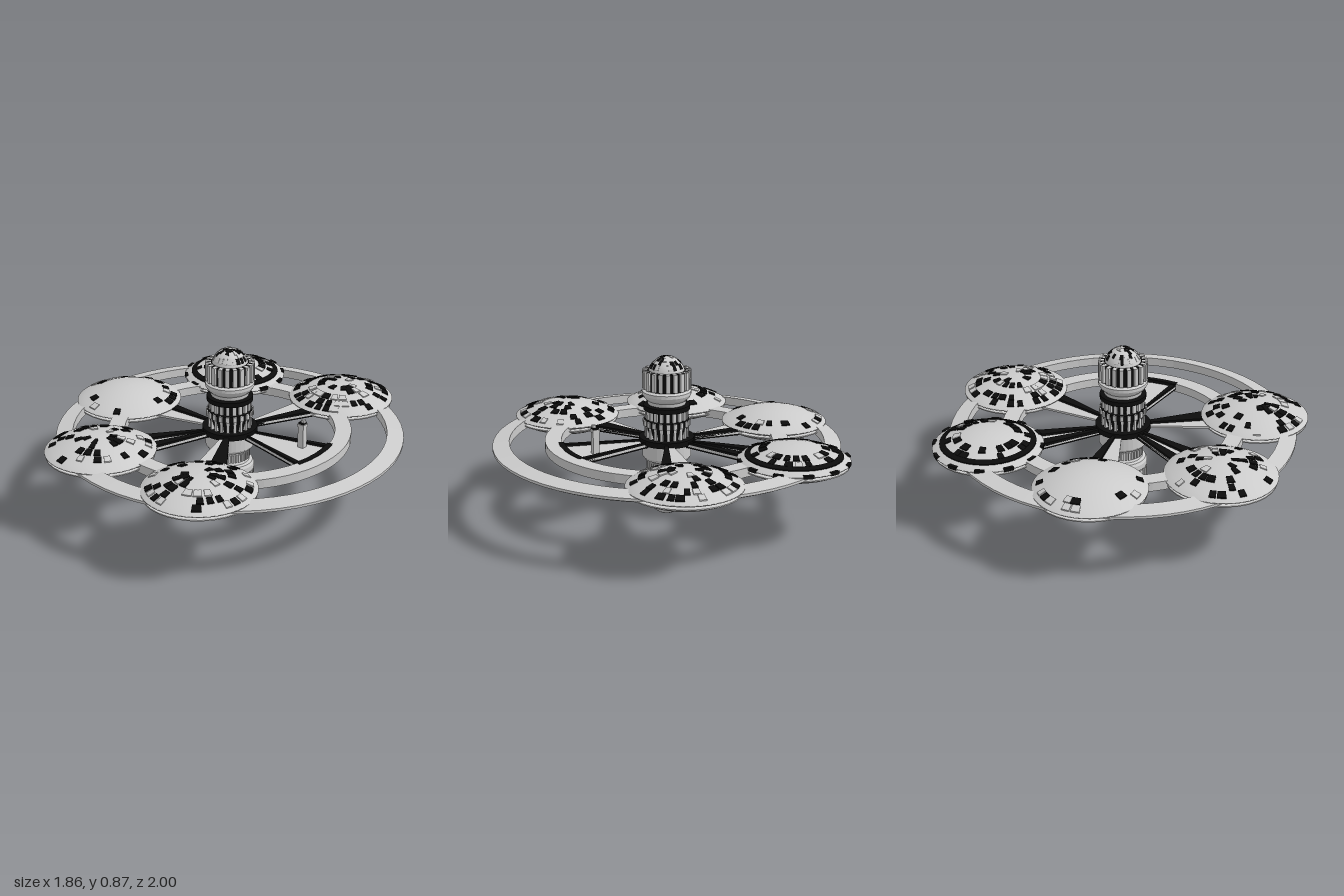
import * as THREE from 'three';
import { mergeGeometries } from 'three/addons/utils/BufferGeometryUtils.js';

const grey = new THREE.MeshStandardMaterial({ color: 0xcccccc, flatShading: true });
const smooth = new THREE.MeshStandardMaterial({ color: 0xcccccc });
const black = new THREE.MeshStandardMaterial({ color: 0x0c0c0c, flatShading: true });
const RAD = Math.PI / 180;

function seeded(seed) {
  let s = seed * 7919 + 17;
  return () => (s = (s * 16807) % 2147483647) / 2147483647;
}

function add(parent, name, geometry, material) {
  const m = new THREE.Mesh(geometry, material);
  m.name = name;
  parent.add(m);
  return m;
}

// Solid ring sector: radii r0..r1, angles a0..a1 in degrees, heights as functions of radius
function sector(r0, r1, a0, a1, bottom, top) {
  const g = new THREE.BoxGeometry(1, 1, 1, 1, 1, Math.max(1, Math.ceil((a1 - a0) / 8)));
  const p = g.attributes.position;
  for (let i = 0; i < p.count; i++) {
    const r = THREE.MathUtils.lerp(r0, r1, p.getX(i) + 0.5);
    const a = THREE.MathUtils.lerp(a0, a1, p.getZ(i) + 0.5) * RAD;
    const h = p.getY(i) > 0 ? top : bottom;
    p.setXYZ(i, r * Math.cos(a), typeof h === 'function' ? h(r) : h, r * Math.sin(a));
  }
  g.computeVertexNormals();
  return g;
}

function lathe(points, segments) {
  return new THREE.LatheGeometry(points.map(([r, y]) => new THREE.Vector2(r, y)), segments);
}

// A ring of evenly spaced teeth
function teeth(n, r0, r1, y0, y1, fill = 0.55, offset = 0) {
  const list = [];
  const step = 360 / n;
  for (let i = 0; i < n; i++) {
    const a = (i + offset) * step;
    list.push(sector(r0, r1, a, a + step * fill, y0, y1));
  }
  return mergeGeometries(list);
}

// Scatter raised panels over a dome; each row is [r0, r1, cells]
function panels(parent, name, rows, chance, height, lift, rand) {
  const dark = [], light = [];
  for (const [r0, r1, n] of rows) {
    const step = 360 / n;
    for (let i = 0; i < n; i++) {
      if (rand() > chance) continue;
      const width = step * (0.6 + 0.4 * rand());
      const isDark = rand() < 0.68;
      (isDark ? dark : light).push(sector(r0, r1, i * step, i * step + width,
        r => height(r) - 0.008, r => height(r) + lift));
    }
  }
  if (dark.length) add(parent, name + 'Dark', mergeGeometries(dark), black);
  if (light.length) add(parent, name + 'Light', mergeGeometries(light), grey);
}

const PANEL_ROWS = [[0.05, 0.09, 14], [0.09, 0.13, 18], [0.14, 0.18, 22], [0.19, 0.225, 28], [0.23, 0.265, 32]];

// Saucer pod: panelled upper dome over a plain lower dish
function pod({ x, z, seed, chance, rows, band }) {
  const g = new THREE.Group();
  g.name = 'pod';
  const R = 0.288;
  const height = r => 0.424 + 0.076 * (1 - (r / R) ** 2);
  const upper = [[0, 0.412], [R - 0.015, 0.412], [R, 0.419]];
  for (let i = 0; i <= 8; i++) upper.push([R * (1 - i / 8), height(R * (1 - i / 8))]);
  add(g, 'upperDome', lathe(upper, 48), smooth);
  const lower = [];
  for (let i = 0; i <= 6; i++) {
    const t = i / 6;
    lower.push([R * 0.98 * t, 0.325 + 0.072 * t * t]);
  }
  lower.push([R * 0.98, 0.403], [0, 0.406]);
  add(g, 'lowerDish', lathe(lower, 32), grey);
  add(g, 'core', new THREE.CylinderGeometry(0.25, 0.25, 0.03, 32).translate(0, 0.405, 0), grey);
  panels(g, 'domePanels', rows.map(i => PANEL_ROWS[i]), chance, height, 0.006, seeded(seed));
  if (band) {
    add(g, 'darkBand', sector(0.222, 0.25, 0, 360, r => height(r) - 0.01, r => height(r) + 0.005), black);
    add(g, 'rimPanels', teeth(12, 0.272, 0.29, 0.415, 0.433, 0.35), black);
  }
  g.position.set(x, 0, z);
  return g;
}

// Flat wedge arm with dark edge strips on the chosen sides
function spoke(angle, half, length, darkLow, darkHigh, strip) {
  const g = new THREE.Group();
  g.name = 'spoke';
  add(g, 'spokePanel', sector(0.09, length, angle - half, angle + half, 0.4, 0.412), grey);
  if (darkLow) add(g, 'darkEdge', sector(0.09, length, angle - half, angle - half + strip, 0.392, 0.424), black);
  if (darkHigh) add(g, 'darkEdge', sector(0.09, length, angle + half - strip, angle + half, 0.392, 0.424), black);
  return g;
}

function hub() {
  const g = new THREE.Group();
  g.name = 'hub';
  // Lower half: domed end, toothed drum, ribbed neck, collar
  const lower = [];
  for (let i = 0; i <= 8; i++) {
    const t = (i / 8) * Math.PI / 2;
    lower.push([0.1 * Math.sin(t), 0.1 - 0.1 * Math.cos(t)]);
  }
  lower.push([0.112, 0.1], [0.112, 0.19], [0.13, 0.19], [0.13, 0.22], [0.122, 0.235], [0.105, 0.24],
    [0.1, 0.25], [0.1, 0.305], [0.12, 0.315], [0.13, 0.33], [0.13, 0.42], [0, 0.42]);
  add(g, 'lowerTower', lathe(lower, 32), grey);
  add(g, 'lowerTeeth', teeth(20, 0.1, 0.13, 0.095, 0.185), grey);
  add(g, 'lowerNeckRibs', teeth(36, 0.09, 0.108, 0.255, 0.3), grey);
  add(g, 'darkCollar', new THREE.CylinderGeometry(0.147, 0.147, 0.03, 40).translate(0, 0.42, 0), black);

  // Upper half: stacked dark drums with light teeth
  const core = [[0, 0.42], [0.095, 0.43], [0.118, 0.5], [0.12, 0.53], [0.1, 0.535], [0.1, 0.58],
    [0.123, 0.585], [0.123, 0.61], [0.1, 0.615], [0.1, 0.69], [0.116, 0.695], [0.116, 0.795], [0, 0.795]];
  add(g, 'upperCore', lathe(core, 32), black);
  const flare = [[0.1, 0.612], [0.104, 0.635], [0.12, 0.65], [0.13, 0.668], [0.13, 0.685], [0.11, 0.695]];
  add(g, 'upperFlare', lathe(flare, 32), grey);
  add(g, 'upperTeeth', teeth(20, 0.1, 0.13, 0.7, 0.797), grey);
  add(g, 'upperNeckTeeth', teeth(20, 0.09, 0.114, 0.535, 0.582), grey);
  add(g, 'upperBandTeeth', teeth(20, 0.1, 0.127, 0.5, 0.53, 0.5), grey);
  add(g, 'upperBaseTeeth', teeth(20, 0.08, 0.117, 0.435, 0.5, 0.4), grey);
  // Panelled end dome
  const height = r => 0.77 + Math.sqrt(Math.max(0, 0.098 ** 2 - r * r));
  add(g, 'topDome', new THREE.SphereGeometry(0.098, 32, 10, 0, Math.PI * 2, 0, Math.PI / 2)
    .translate(0, 0.77, 0), smooth);
  panels(g, 'topDomePanels', [[0.012, 0.035, 8], [0.035, 0.058, 14], [0.058, 0.075, 18], [0.075, 0.09, 22]],
    0.55, height, 0.004, seeded(5));
  return g;
}

export function createModel() {
  const model = new THREE.Group();
  model.name = 'spaceStation';
  const centre = new THREE.Group();
  centre.name = 'wheel';
  centre.position.set(0.005, 0, -0.01);
  model.add(centre);

  // Rings: bevelled outer, square inner
  const ring = pts => lathe([...pts, pts[0]], 64);
  add(centre, 'outerRing', ring([[0.832, 0.382], [0.9, 0.39], [0.92, 0.4], [0.92, 0.414], [0.832, 0.43]]), grey);
  add(centre, 'innerRing', ring([[0.558, 0.38], [0.645, 0.38], [0.645, 0.428], [0.558, 0.428]]), grey);
  centre.add(hub());

  // Arms toward the pods
  const arms = [[83, false, false], [139, true, true], [195, false, true], [253, true, true], [308, false, true]];
  for (const [angle, low, high] of arms) centre.add(spoke(angle, 10, 0.575, low, high, 7));
  centre.children.filter(c => c.name === 'spoke')[0].add(
    new THREE.Mesh(sector(0.09, 0.575, 73, 84, 0.392, 0.424), black));

  // Open platform with dark border and a small tower
  centre.add(spoke(19, 15, 0.575, true, true, 3));
  add(centre, 'platformEdge', sector(0.548, 0.578, 4, 34, 0.392, 0.43), black);
  add(centre, 'platformUnderside', sector(0.12, 0.55, 5, 33, 0.394, 0.401), black);
  const tower = new THREE.Group();
  tower.name = 'platformTower';
  const box = (name, w, h, y, mat, dx = 0) =>
    add(tower, name, new THREE.BoxGeometry(w, h, w).translate(dx, y, 0), mat);
  box('shaft', 0.034, 0.13, 0.475, grey);
  box('cap', 0.04, 0.014, 0.535, grey);
  box('capBand', 0.03, 0.012, 0.546, black);
  box('topBlock', 0.018, 0.016, 0.558, grey, 0.006);
  tower.position.set(0.43, 0, 0.08);
  tower.rotation.y = -0.35;
  model.add(tower);

  // Five saucer pods
  [
    { x: -0.206, z: -0.714, seed: 3, chance: 0.5, rows: [2, 3], band: true },
    { x: 0.46, z: -0.6, seed: 8, chance: 0.5, rows: [0, 1, 2, 3, 4] },
    { x: -0.65, z: -0.19, seed: 12, chance: 0.3, rows: [3, 4] },
    { x: -0.535, z: 0.462, seed: 21, chance: 0.42, rows: [0, 1, 2, 3, 4] },
    { x: 0.092, z: 0.704, seed: 34, chance: 0.45, rows: [0, 1, 2, 3, 4] },
  ].forEach(p => model.add(pod(p)));

  return model;
}
